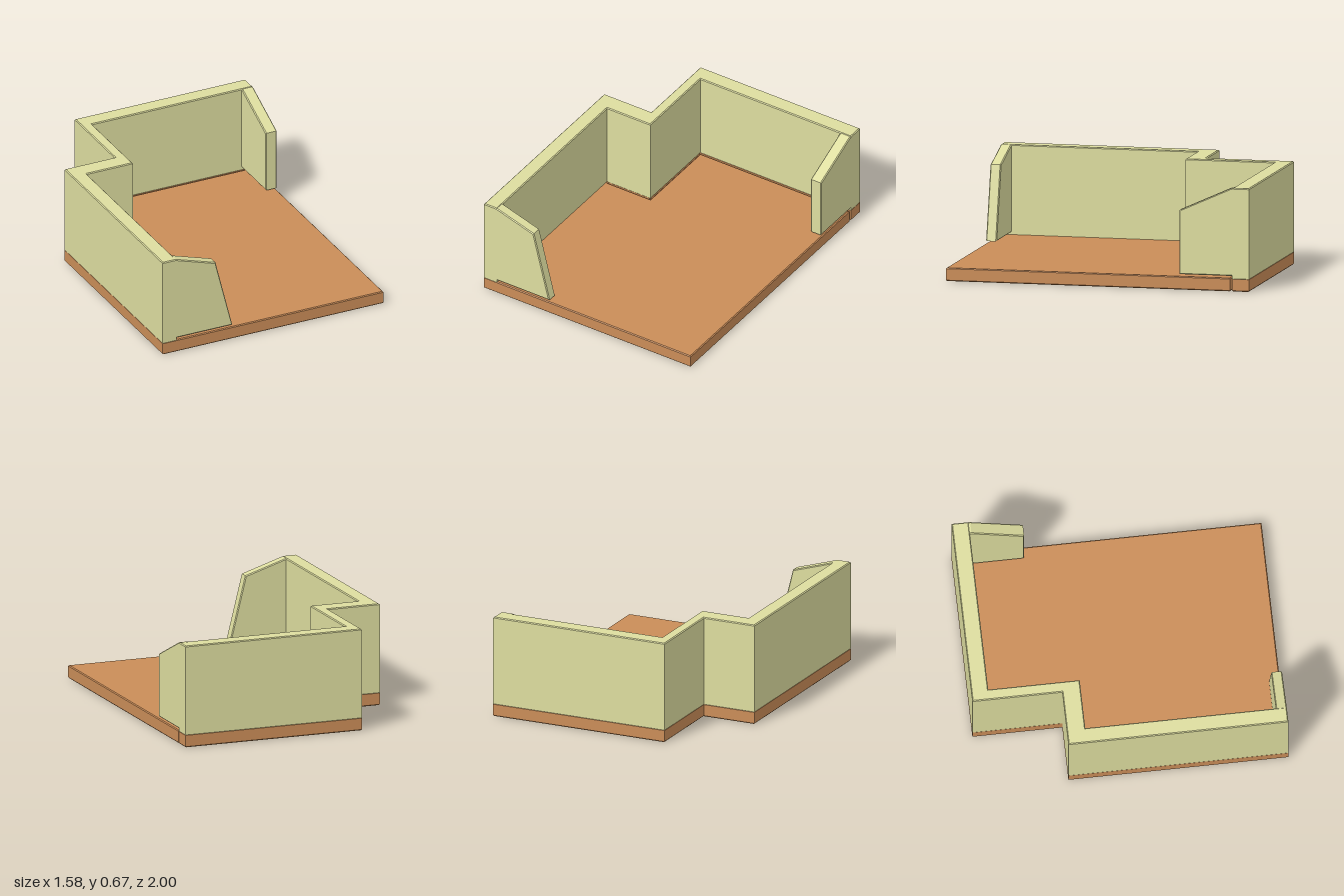
import * as THREE from 'three';

const BEVEL = 0.006;

// Extrudes an outline along +z from 0 to depth, with a small chamfer kept inside the outline.
function chamferedSlab(points, depth) {
  const shape = new THREE.Shape(points.map(([x, y]) => new THREE.Vector2(x, y)));
  const geometry = new THREE.ExtrudeGeometry(shape, {
    depth: depth - 2 * BEVEL,
    bevelEnabled: true,
    bevelThickness: BEVEL,
    bevelSize: BEVEL,
    bevelOffset: -BEVEL,
    bevelSegments: 1,
  });
  return geometry.translate(0, 0, BEVEL);
}

// Stands a floor-plan outline, given as [x, z] pairs, between two heights.
function planSlab(points, bottom, top) {
  const geometry = chamferedSlab(points.map(([x, z]) => [x, -z]), top - bottom);
  return geometry.rotateX(-Math.PI / 2).translate(0, bottom, 0);
}

export function createModel() {
  const group = new THREE.Group();
  const wallMaterial = new THREE.MeshStandardMaterial({ color: 0xdddd9f, flatShading: true });
  const floorMaterial = new THREE.MeshStandardMaterial({ color: 0xca8d58, flatShading: true });

  const add = (name, geometry, material) => {
    const mesh = new THREE.Mesh(geometry, material);
    mesh.name = name;
    group.add(mesh);
  };

  // Stepped floor, with a narrow joint following the inside of the back walls
  add('floor', planSlab([
    [-0.79, 1], [0.79, 1], [0.79, -0.876],
    [-0.352, -0.876], [-0.352, -0.288], [-0.68, -0.288], [-0.68, -0.302],
    [-0.366, -0.302], [-0.366, -0.89], [0.79, -0.89],
    [0.79, -1], [-0.43, -1], [-0.43, -0.42], [-0.79, -0.42],
  ], 0, 0.086), floorMaterial);

  // Continuous wall: left side, step and back
  add('wall', planSlab([
    [-0.79, 1], [-0.69, 1], [-0.69, -0.30], [-0.36, -0.30],
    [-0.36, -0.89], [0.79, -0.89], [0.79, -1],
    [-0.43, -1], [-0.43, -0.42], [-0.79, -0.42],
  ], 0.077, 0.67), wallMaterial);

  // Front return with a sloping broken edge
  const frontReturn = chamferedSlab([
    [-0.75, 0.1], [-0.29, 0.1], [-0.41, 0.58], [-0.69, 0.668], [-0.75, 0.66],
  ], 0.07).translate(0, 0, 0.93);
  add('frontReturnWall', frontReturn, wallMaterial);

  // Side return at the back corner; its profile runs along -z
  const sideReturn = chamferedSlab([
    [0.54, 0.1], [0.95, 0.1], [0.95, 0.66], [0.88, 0.668], [0.54, 0.515],
  ], 0.08).rotateY(Math.PI / 2).translate(0.71, 0, 0);
  add('sideReturnWall', sideReturn, wallMaterial);

  return group;
}
